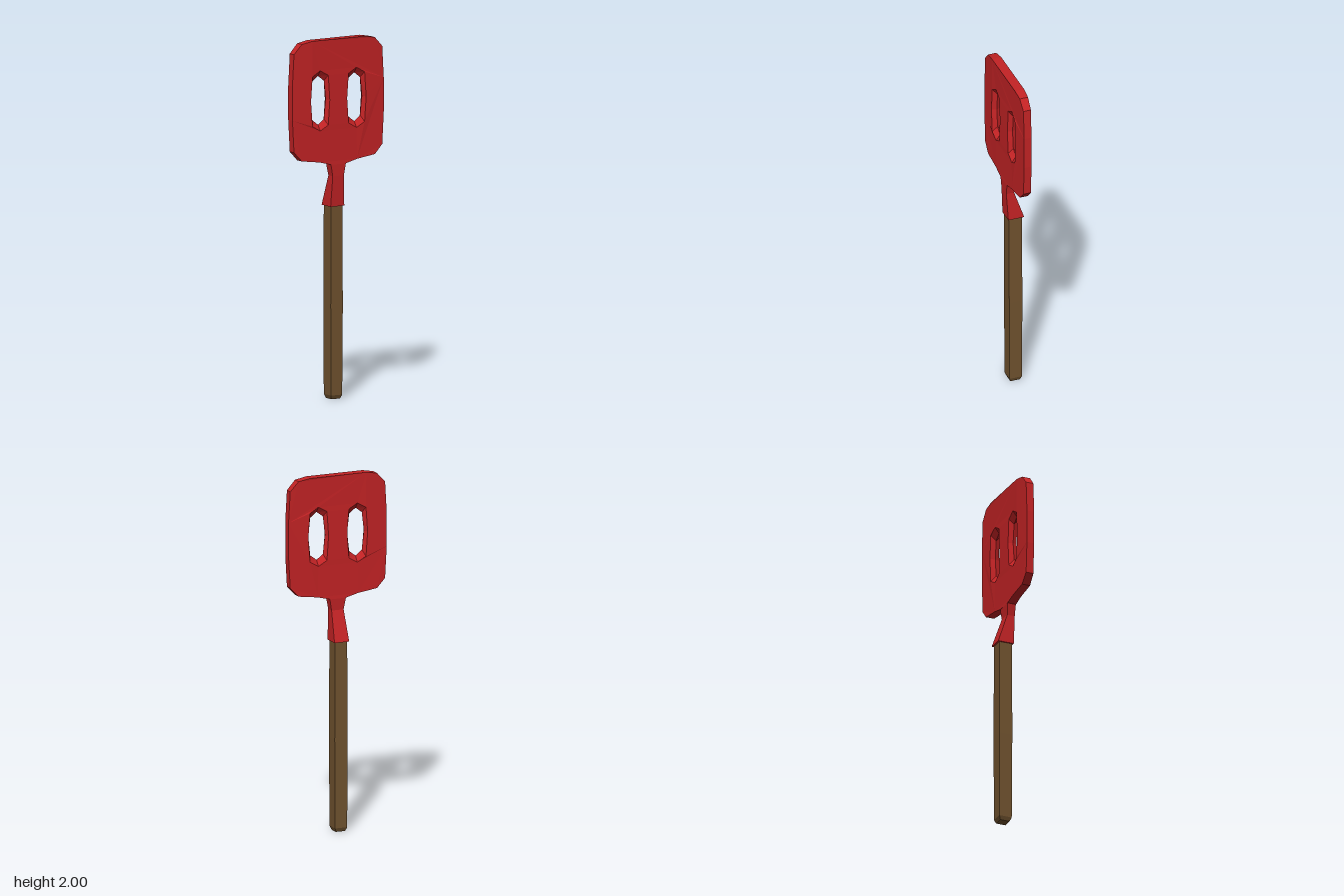
import * as THREE from 'three';

const red = new THREE.MeshStandardMaterial({ color: 0xc42325, flatShading: true });
red.name = 'red';
const wood = new THREE.MeshStandardMaterial({ color: 0x71532f, flatShading: true });
wood.name = 'wood brown';

// Join equal-length rings of [x, y, z] with quads; optionally close both ends.
function loft(rings, capped) {
  const pos = [];
  const tri = (a, b, c) => pos.push(...a, ...b, ...c);
  const n = rings[0].length;
  for (let k = 0; k + 1 < rings.length; k++) {
    for (let i = 0; i < n; i++) {
      const j = (i + 1) % n, p = rings[k], q = rings[k + 1];
      tri(p[i], p[j], q[j]);
      tri(p[i], q[j], q[i]);
    }
  }
  if (capped) {
    const first = rings[0], last = rings[rings.length - 1];
    for (let i = 1; i + 1 < n; i++) {
      tri(first[0], first[i + 1], first[i]);
      tri(last[0], last[i], last[i + 1]);
    }
  }
  const g = new THREE.BufferGeometry();
  g.setAttribute('position', new THREE.Float32BufferAttribute(pos, 3));
  g.computeVertexNormals();
  return g;
}

// Rectangular cross-section at height y, facing up.
const section = ([y, x, back, front]) =>
  [[-x, y, front], [x, y, front], [x, y, back], [-x, y, back]];

// Blade thickness varies a little across its width.
const MID = 0.025;
const stops = [[0, 0.0265], [0.117, 0.0245], [0.17, 0.027], [0.295, 0.0215]];
function halfDepth(x) {
  const a = Math.min(Math.abs(x), 0.295);
  let i = 0;
  while (i < stops.length - 2 && a > stops[i + 1][0]) i++;
  const [x0, d0] = stops[i], [x1, d1] = stops[i + 1];
  return d0 + (d1 - d0) * (a - x0) / (x1 - x0);
}
const atSide = (pts, side) => pts.map(([x, y]) => [x, y, MID + side * halfDepth(x)]);

export function createModel() {
  const model = new THREE.Group();
  const add = (name, geometry, material) => {
    const mesh = new THREE.Mesh(geometry, material);
    mesh.name = name;
    model.add(mesh);
  };

  // Right half of the blade outline, bottom to top, then mirrored
  const half = [[0.045, 1.305], [0.12, 1.324], [0.236, 1.34], [0.285, 1.392], [0.295, 1.57],
    [0.295, 1.76], [0.285, 1.935], [0.236, 1.988], [0.17, 2]];
  const outline = [...half, ...half.map(([x, y]) => [-x, y]).reverse()];

  // Slots: wide at both faces, pinched halfway through
  const slot = (cx, w, h, sx, sy) =>
    [[0, h], [sx, sy], [w, 0], [sx, -sy], [0, -h], [-sx, -sy], [-w, 0], [-sx, sy]]
      .map(([x, y]) => [cx + x, 1.665 + y]);
  const slots = [-0.117, 0.117].map(cx => ({
    wide: slot(cx, 0.061, 0.167, 0.051, 0.138),
    waist: slot(cx, 0.05, 0.135, 0.038, 0.106),
  }));

  const toVec = pts => pts.map(([x, y]) => new THREE.Vector2(x, y));
  const shape = new THREE.Shape(toVec(outline));
  for (const s of slots) shape.holes.push(new THREE.Path(toVec(s.wide)));

  // Front and back faces of the blade
  for (const side of [1, -1]) {
    const g = new THREE.ShapeGeometry(shape);
    const p = g.attributes.position;
    for (let i = 0; i < p.count; i++) p.setZ(i, MID + side * halfDepth(p.getX(i)));
    if (side < 0) g.index.array.reverse();
    g.computeVertexNormals();
    add(side > 0 ? 'bladeFront' : 'bladeBack', g, red);
  }
  add('bladeRim', loft([atSide(outline, -1), atSide(outline, 1)]), red);
  for (const s of slots) {
    const waist = s.waist.map(([x, y]) => [x, y, MID]);
    add('slotWall', loft([atSide(s.wide, -1), waist, atSide(s.wide, 1)]), red);
  }

  // Neck: flares back to meet the handle
  add('neck', loft([
    [1.07, 0.044, -0.053, 0.04],
    [1.24, 0.036, 0.004, 0.049],
    [1.305, 0.048, 0, 0.05],
    [1.325, 0.05, 0.002, 0.048],
  ].map(section), true), red);

  // Handle: slightly swollen bar with a chamfered foot
  add('handle', loft([
    [0, 0.028, -0.034, 0.022],
    [0.022, 0.036, -0.043, 0.031],
    [0.52, 0.039, -0.044, 0.033],
    [1.08, 0.036, -0.043, 0.033],
  ].map(section), true), wood);

  return model;
}
